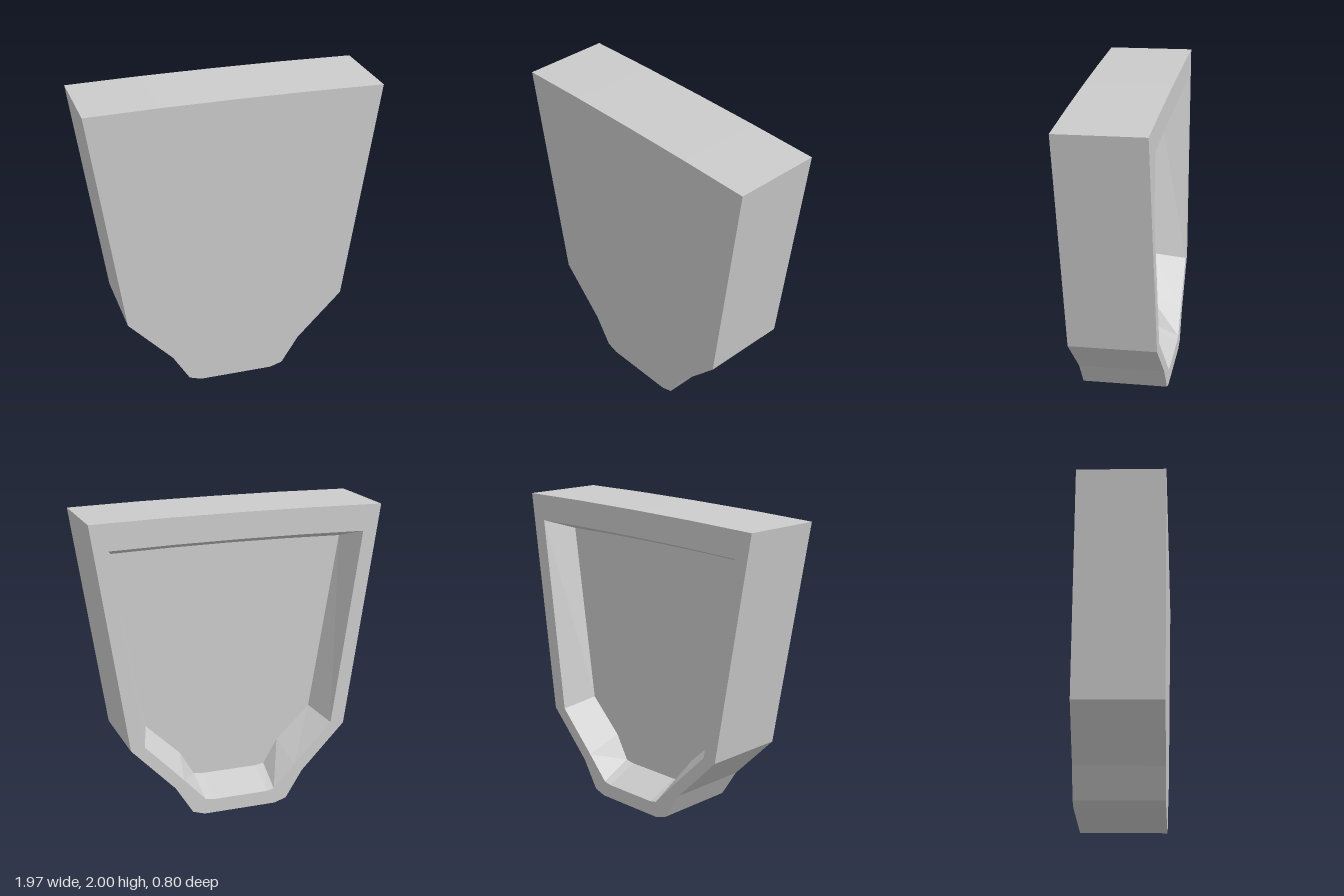
import * as THREE from 'three';

// Mirrored outline, counter-clockwise seen from +z; top edge is slightly bowed
function outline(half, z) {
  const [tx, ty] = half[0];
  const right = [[tx / 2, ty + 0.0085], ...half];
  const left = right.map(([x, y]) => [-x, y]).reverse();
  // right side runs downward, left side upward, then across the top centre
  const clockwise = [[0, ty + 0.011], ...right, ...left];
  return clockwise.reverse().map(([x, y]) => new THREE.Vector3(x, y, z));
}

// Band of quads between two rings; outward when b lies in front of a
function band(out, a, b) {
  a.forEach((p, i) => {
    const j = (i + 1) % a.length;
    out.push(p, a[j], b[j], p, b[j], b[i]);
  });
}

// Flat cap filling a ring
function cap(out, ring, faceFront) {
  const flat = ring.map(p => new THREE.Vector2(p.x, p.y));
  for (const [a, b, c] of THREE.ShapeUtils.triangulateShape(flat, [])) {
    const area = (flat[b].x - flat[a].x) * (flat[c].y - flat[a].y)
      - (flat[b].y - flat[a].y) * (flat[c].x - flat[a].x);
    const keep = (area > 0) === faceFront;
    out.push(ring[a], ring[keep ? b : c], ring[keep ? c : b]);
  }
}

export function createModel() {
  const depth = 0.565, pocket = 0.22;
  const outer = [[0.957, 1.98], [0.735, 0.512], [0.44, 0.207], [0.327, 0.026], [0.247, 0]];
  const rim = [[0.837, 1.812], [0.643, 0.525], [0.385, 0.26], [0.24, 0.105], [0.19, 0.094]];
  const inner = [[0.77, 1.743], [0.575, 0.58], [0.345, 0.36], [0.25, 0.2], [0.19, 0.19]];

  const front = outline(outer, depth / 2);
  const back = outline(outer, -depth / 2);
  const opening = outline(rim, -depth / 2);
  const floor = outline(inner, -depth / 2 + pocket);

  // Solid shell: front panel, side walls, back rim
  const shell = [];
  cap(shell, front, true);
  band(shell, back, front);
  band(shell, opening, back);

  // Tapered pocket sunk into the back
  const recess = [];
  band(recess, floor, opening);
  cap(recess, floor, false);

  const group = new THREE.Group();
  group.name = 'hollowBackedPanel';
  const material = new THREE.MeshStandardMaterial({ color: 0xcccccc, flatShading: true });
  // Slight turn, forward lean and roll
  const pose = new THREE.Matrix4().makeRotationFromEuler(new THREE.Euler(0.02, -0.123, 0.005, 'YXZ'));
  for (const [name, points] of [['shell', shell], ['backRecess', recess]]) {
    const geometry = new THREE.BufferGeometry().setFromPoints(points);
    geometry.applyMatrix4(pose);
    geometry.computeVertexNormals();
    const mesh = new THREE.Mesh(geometry, material);
    mesh.name = name;
    group.add(mesh);
  }

  // Stand on the ground, centred
  const box = new THREE.Box3().setFromObject(group);
  const centre = box.getCenter(new THREE.Vector3());
  group.children.forEach(m => m.geometry.translate(-centre.x, -box.min.y, -centre.z));
  return group;
}
